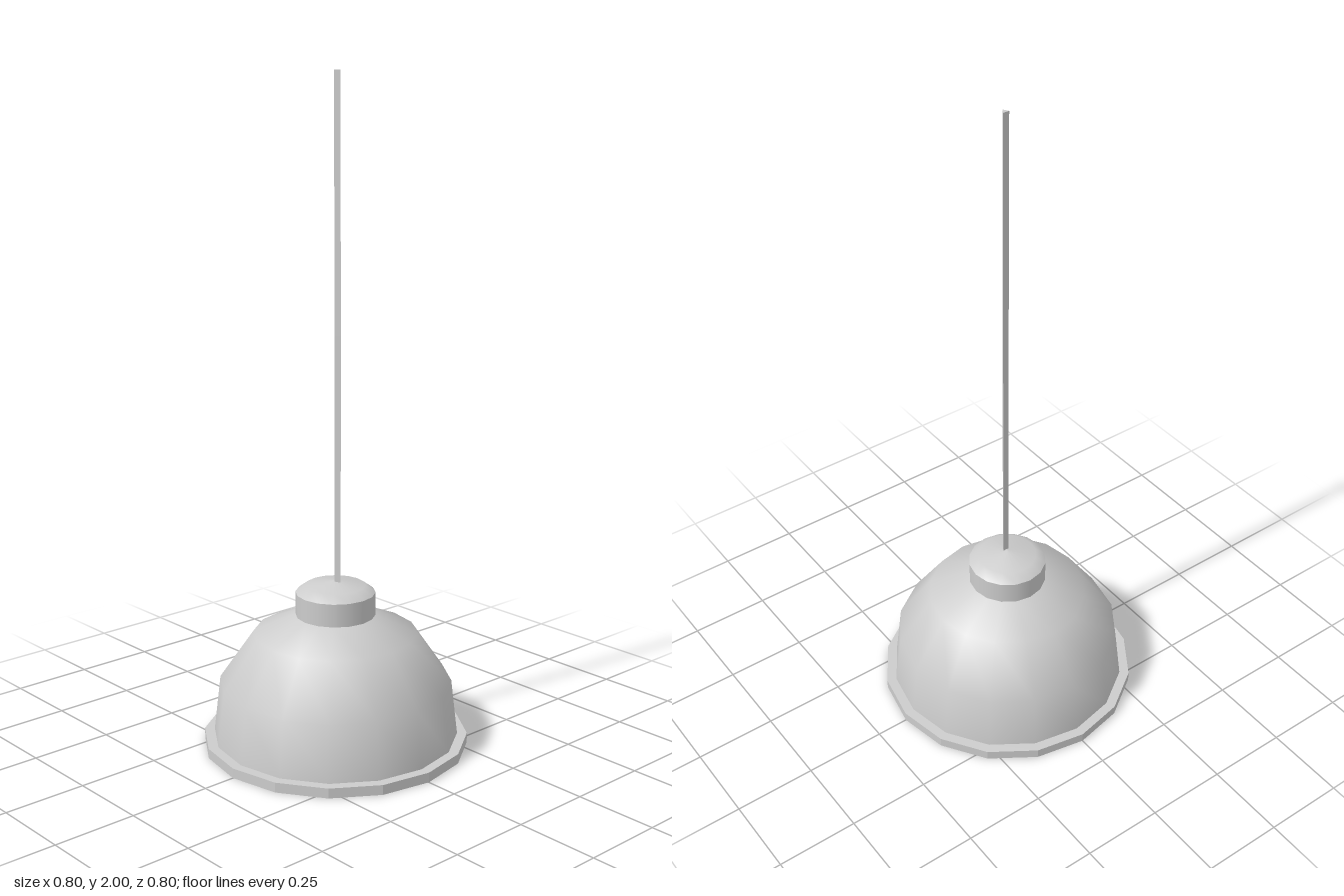
import * as THREE from 'three';

const SIDES = 16;

export function createModel() {
  const group = new THREE.Group();
  const metal = new THREE.MeshStandardMaterial({ color: 0xcccccc, side: THREE.DoubleSide });
  metal.name = 'light grey metal';
  const metalFlat = metal.clone();
  metalFlat.flatShading = true;
  metalFlat.name = 'light grey metal, faceted';

  // Revolve a [radius, height] profile, listed from the bottom up
  const turned = (name, profile, material) => {
    const points = profile.map(([r, y]) => new THREE.Vector2(r, y));
    const mesh = new THREE.Mesh(new THREE.LatheGeometry(points, SIDES), material);
    mesh.name = name;
    group.add(mesh);
  };

  // Open bell shade and its square-edged rim
  turned('shade', [[0.37, 0.03], [0.35, 0.2], [0.246, 0.35], [0.12, 0.405]], metal);
  turned('rim', [[0.37, 0], [0.4, 0], [0.4, 0.03], [0.37, 0.03], [0.37, 0]], metalFlat);

  // Socket collar with a domed cap
  turned('collar', [[0.12, 0.405], [0.12, 0.475]], metal);
  turned('cap', [[0.12, 0.475], [0.09, 0.497], [0, 0.512]], metal);

  // Three-sided hanging cord, leaning back very slightly towards the top
  const cordGeometry = new THREE.CylinderGeometry(0.011, 0.011, 1.5, 3, 2);
  const p = cordGeometry.attributes.position;
  for (let i = 0; i < p.count; i++) {
    if (p.getY(i) < 0.5) p.setZ(i, p.getZ(i) + 0.002);
  }
  const cord = new THREE.Mesh(cordGeometry, metalFlat);
  cord.name = 'cord';
  cord.position.set(0, 1.25, 0.01);
  group.add(cord);

  return group;
}
